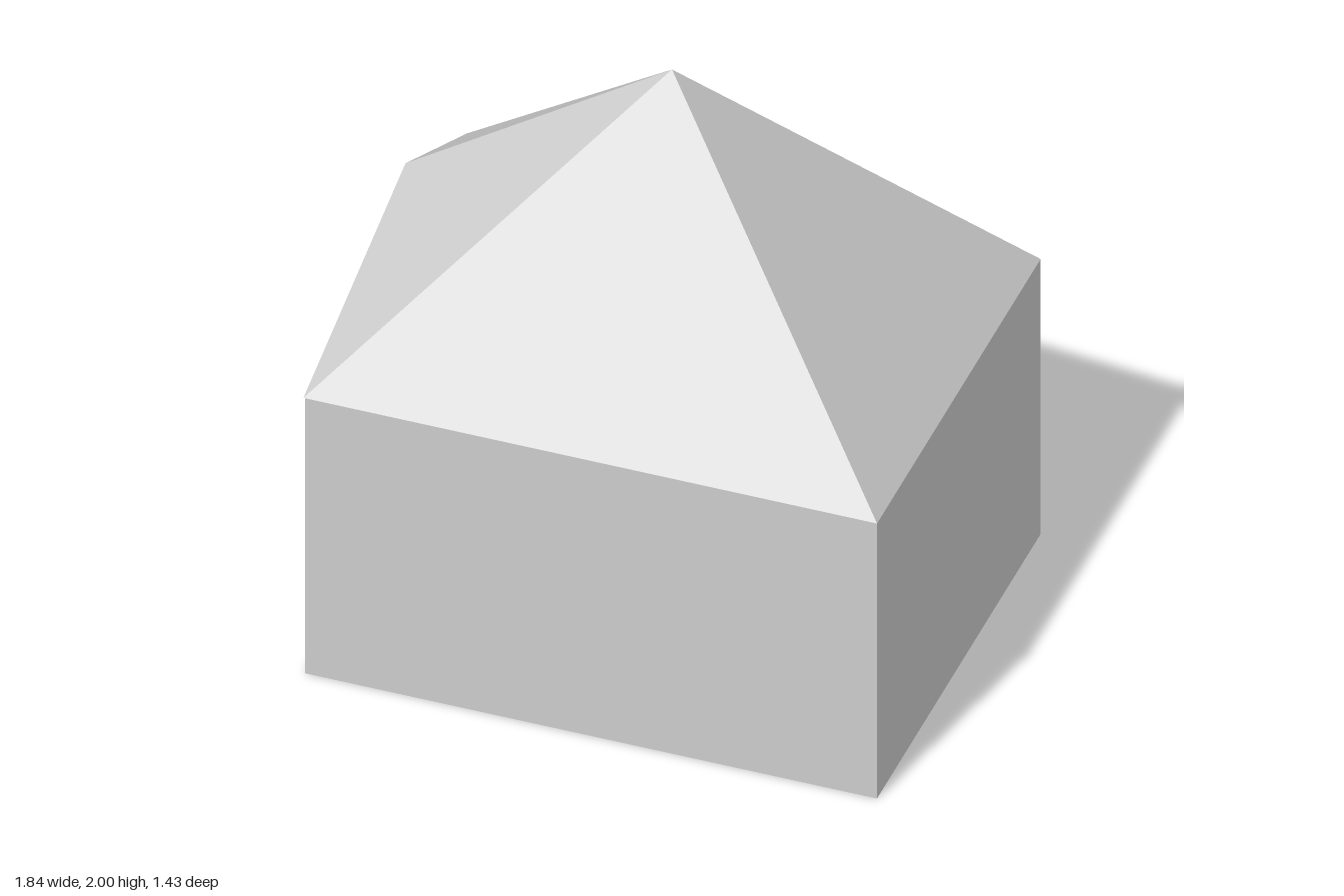
import * as THREE from 'three';

const HALF_X = 0.92, HALF_Z = 0.713, EAVE = 1.03, INNER_X = 0.82;

export function createModel() {
  const model = new THREE.Group();
  const material = new THREE.MeshStandardMaterial({ color: 0xcccccc, flatShading: true });

  const add = (name, geometry) => {
    const mesh = new THREE.Mesh(geometry, material);
    mesh.name = name;
    model.add(mesh);
    return mesh;
  };

  // Hollow body: a wall outline with an entrance hole, extruded along x
  const outline = new THREE.Shape([
    [-HALF_Z, 0], [HALF_Z, 0], [HALF_Z, EAVE], [-HALF_Z, EAVE],
  ].map(([x, y]) => new THREE.Vector2(x, y)));
  outline.holes.push(new THREE.Path([
    [-0.615, 0.03], [-0.605, 1.02], [0.63, 1.02], [0.61, 0.025],
  ].map(([x, y]) => new THREE.Vector2(x, y))));
  const body = new THREE.ExtrudeGeometry(outline, { depth: INNER_X + 0.915, bevelEnabled: false });
  body.rotateY(Math.PI / 2).translate(-0.915, 0, 0);
  add('body', body);

  // Solid wall closing the end opposite the entrance
  const thickness = HALF_X - INNER_X;
  add('endWall', new THREE.BoxGeometry(thickness, EAVE, HALF_Z * 2))
    .position.set(INNER_X + thickness / 2, EAVE / 2, 0);

  // Pyramid roof with a ridge running out to a gable above the entrance
  const apex = [0, 2, 0];
  const ridgeEnd = [-0.855, 1.43, 0];
  const corner = (sx, sz) => [sx * HALF_X, EAVE, sz * HALF_Z];
  const backRight = corner(-1, -1), backLeft = corner(1, -1);
  const frontRight = corner(-1, 1), frontLeft = corner(1, 1);
  const faces = [
    [frontRight, frontLeft, apex],
    [frontLeft, backLeft, apex],
    [backLeft, backRight, apex],
    [frontRight, apex, ridgeEnd],
    [backRight, ridgeEnd, apex],
    [backRight, frontRight, ridgeEnd],
  ];
  const roof = new THREE.BufferGeometry();
  roof.setAttribute('position', new THREE.Float32BufferAttribute(faces.flat(2), 3));
  roof.computeVertexNormals();
  add('roof', roof);

  return model;
}
